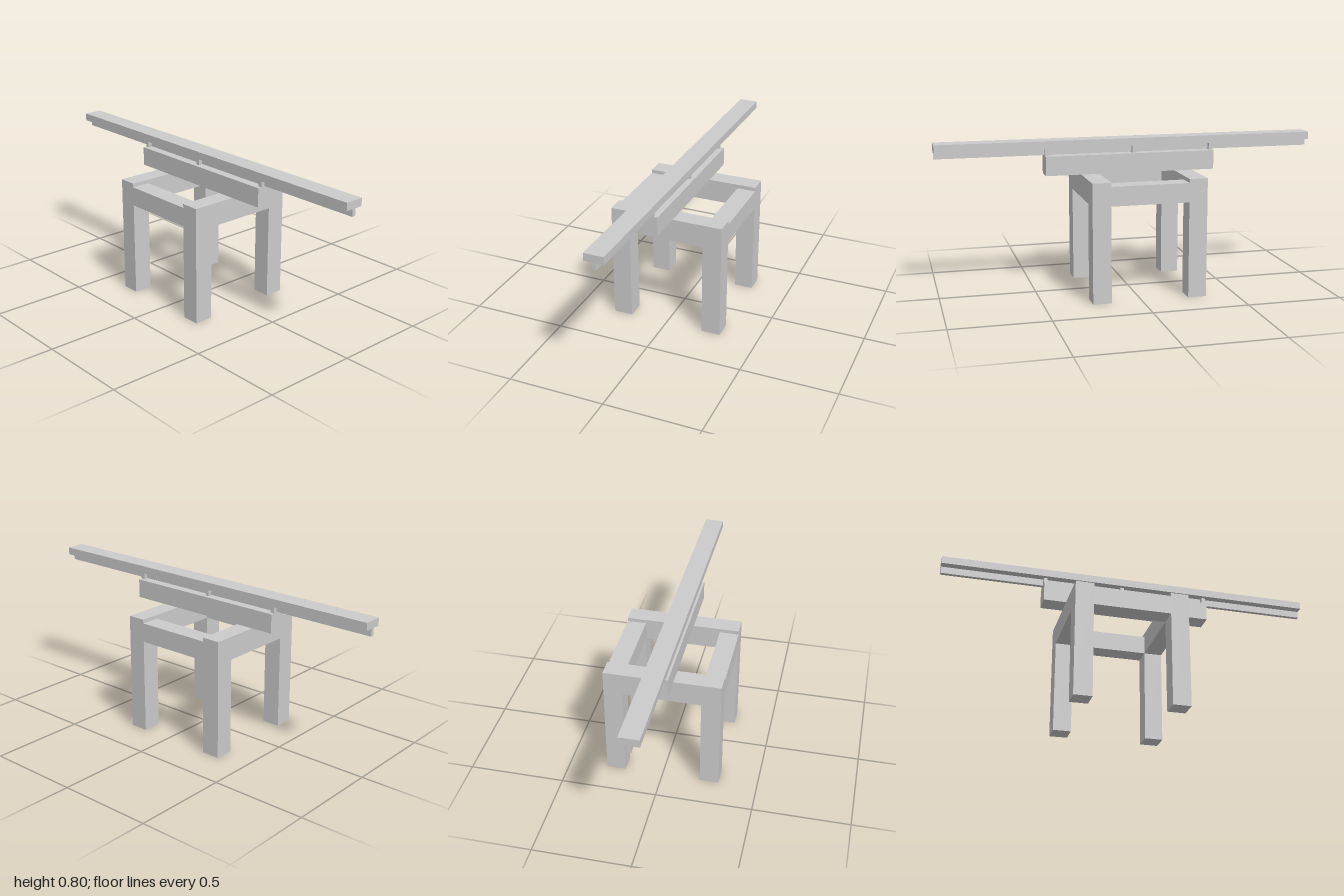
import * as THREE from 'three';

const material = new THREE.MeshStandardMaterial({ color: 0xcccccc, flatShading: true });

// Box given by its extents along each axis
function block(name, [x0, x1], [y0, y1], [z0, z1]) {
  const mesh = new THREE.Mesh(new THREE.BoxGeometry(x1 - x0, y1 - y0, z1 - z0), material);
  mesh.position.set((x0 + x1) / 2, (y0 + y1) / 2, (z0 + z1) / 2);
  mesh.name = name;
  return mesh;
}

// Two legs joined by a top bar, cut as one portal profile in the z-y plane
function legFrame(name, x0, width) {
  const outline = [[-0.3, 0], [-0.2, 0], [-0.2, 0.5], [0.2, 0.5], [0.2, 0], [0.3, 0], [0.3, 0.62], [-0.3, 0.62]];
  const shape = new THREE.Shape(outline.map(([z, y]) => new THREE.Vector2(z, y)));
  const geometry = new THREE.ExtrudeGeometry(shape, { depth: width, bevelEnabled: false });
  geometry.rotateY(-Math.PI / 2).translate(x0 + width, 0, 0);
  const mesh = new THREE.Mesh(geometry, material);
  mesh.name = name;
  return mesh;
}

export function createModel() {
  const model = new THREE.Group();
  model.name = 'railStand';

  // Base: two portal frames tied by lower cross bars
  model.add(legFrame('rightLegFrame', -0.341, 0.096), legFrame('leftLegFrame', 0.16, 0.096));
  model.add(block('frontCrossBar', [-0.245, 0.16], [0.5, 0.6], [0.2, 0.3]));
  model.add(block('backCrossBar', [-0.245, 0.16], [0.5, 0.6], [-0.3, -0.2]));

  // Beam across the base
  model.add(block('supportBeam', [-0.46, 0.44], [0.62, 0.72], [-0.04, 0.06]));

  // Small spacers carrying the rail
  for (const x of [-0.46, -0.04, 0.42]) {
    model.add(block('spacer', [x, x + 0.02], [0.72, 0.76], [-0.02, 0.04]));
  }

  // Long T-section rail
  model.add(block('railWeb', [-1, 1], [0.723, 0.76], [0, 0.02]));
  model.add(block('railTop', [-1, 1], [0.76, 0.8], [-0.04, 0.06]));
  return model;
}
